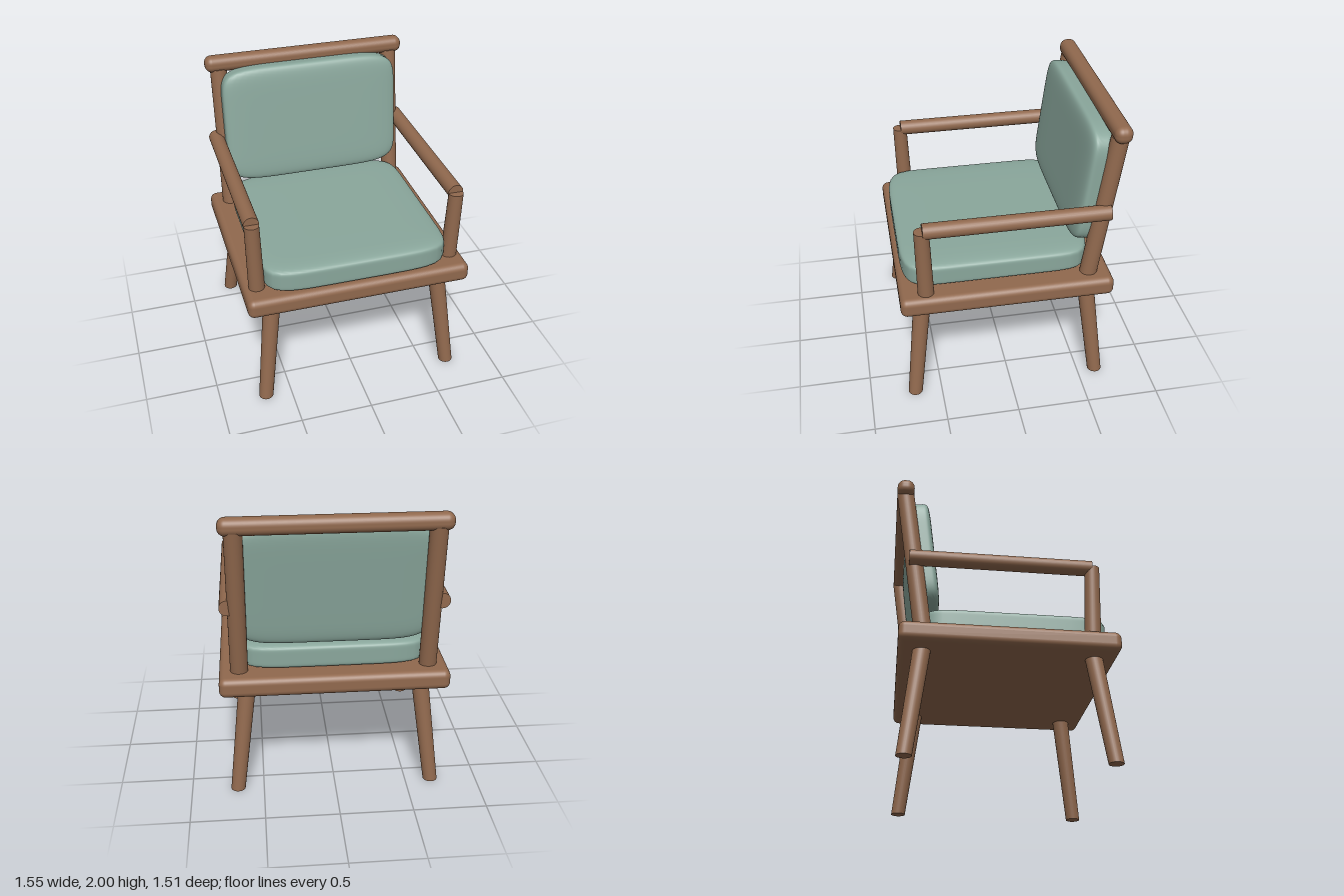
import * as THREE from 'three';
import { RoundedBoxGeometry } from 'three/addons/geometries/RoundedBoxGeometry.js';

const wood = new THREE.MeshStandardMaterial({ color: 0x91694e });
wood.name = 'brown wood';
const fabric = new THREE.MeshStandardMaterial({ color: 0x8aa79c });
fabric.name = 'sage fabric';

function part(parent, name, geometry, material) {
  const mesh = new THREE.Mesh(geometry, material);
  mesh.name = name;
  parent.add(mesh);
  return mesh;
}

// Slanted tapered pole whose end faces stay level
function slantedPole(from, to, rFrom, rTo) {
  const height = to[1] - from[1];
  const geo = new THREE.CylinderGeometry(rTo, rFrom, height, 28);
  const shear = new THREE.Matrix4().set(
    1, (to[0] - from[0]) / height, 0, (from[0] + to[0]) / 2,
    0, 1, 0, (from[1] + to[1]) / 2,
    0, (to[2] - from[2]) / height, 1, (from[2] + to[2]) / 2,
    0, 0, 0, 1);
  return geo.applyMatrix4(shear);
}

// Soft pad: a sphere pushed out to |x|^a + |y|^b + |z|^c = 1, then sized
function cushion([hx, hy, hz], [a, b, c]) {
  const geo = new THREE.SphereGeometry(1, 96, 72);
  const pos = geo.attributes.position;
  const nor = geo.attributes.normal;
  const p = new THREE.Vector3();
  const g = new THREE.Vector3();
  const slope = (v, e) => e * Math.sign(v) * Math.abs(v) ** (e - 1);
  for (let i = 0; i < pos.count; i++) {
    p.fromBufferAttribute(pos, i);
    let low = 0.9, high = 1.8;
    for (let step = 0; step < 30; step++) {
      const t = (low + high) / 2;
      const sum = Math.abs(t * p.x) ** a + Math.abs(t * p.y) ** b + Math.abs(t * p.z) ** c;
      if (sum < 1) low = t; else high = t;
    }
    p.multiplyScalar(low);
    g.set(slope(p.x, a) / hx, slope(p.y, b) / hy, slope(p.z, c) / hz).normalize();
    pos.setXYZ(i, p.x * hx, p.y * hy, p.z * hz);
    nor.setXYZ(i, g.x, g.y, g.z);
  }
  return geo;
}

export function createModel() {
  const chair = new THREE.Group();
  chair.name = 'armchair';

  // Seat
  part(chair, 'seatFrame', new RoundedBoxGeometry(1.555, 0.137, 1.455, 5, 0.045), wood)
    .position.set(0, 0.8125, 0.0275);
  part(chair, 'seatCushion', cushion([0.648, 0.092, 0.647], [6, 8, 10]), fabric)
    .position.set(0, 0.968, 0.077);

  // Legs, arms and back posts, mirrored
  for (const s of [1, -1]) {
    const side = s > 0 ? 'left' : 'right';
    part(chair, side + 'FrontLeg',
      slantedPole([s * 0.68, 0, 0.687], [s * 0.588, 0.79, 0.594], 0.05, 0.06), wood);
    part(chair, side + 'BackLeg',
      slantedPole([s * 0.68, 0, -0.63], [s * 0.588, 0.79, -0.538], 0.05, 0.06), wood);
    part(chair, side + 'BackPost',
      slantedPole([s * 0.641, 0.85, -0.54], [s * 0.641, 1.91, -0.693], 0.06, 0.06), wood);
    part(chair, side + 'ArmPost',
      slantedPole([s * 0.685, 0.85, 0.577], [s * 0.70, 1.38, 0.59], 0.055, 0.05), wood);
    part(chair, side + 'Armrest',
      new THREE.CylinderGeometry(0.053, 0.053, 1.235, 28).rotateX(Math.PI / 2), wood)
      .position.set(s * 0.70, 1.381, -0.0325);
  }

  // Back
  const back = part(chair, 'backCushion', cushion([0.648, 0.428, 0.085], [6, 8, 6]), fabric);
  back.position.set(0, 1.503, -0.555);
  back.rotation.x = -0.125;
  part(chair, 'topRail', new RoundedBoxGeometry(1.474, 0.115, 0.118, 6, 0.05), wood)
    .position.set(0, 1.9425, -0.694);

  return chair;
}
